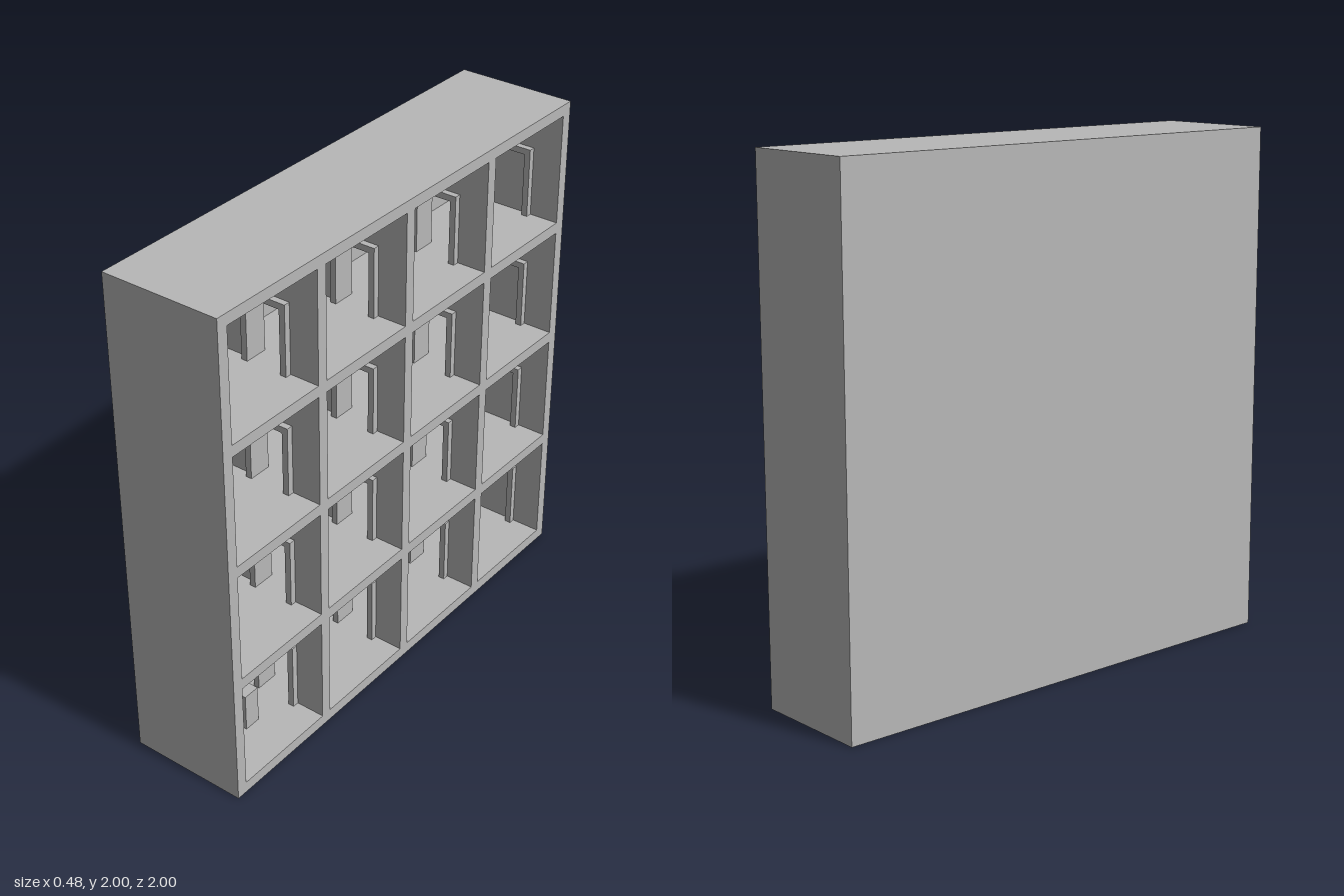
import * as THREE from 'three';

const N = 4;                    // rooms per side
const W = 0.045;                // wall thickness
const D = 0.24;                 // half depth of the block
const CELL = (2 - (N + 1) * W) / N;
const PITCH = CELL + W;
const BACK = -D + W;            // inner face of the back panel
const MID = (BACK + D) / 2;     // middle of a room in depth
const DOOR_W = 0.145, DOOR_H = 0.255, TRIM = 0.025;

export function createModel() {
  const model = new THREE.Group();
  const grey = new THREE.MeshStandardMaterial({ color: 0xb8b8b8 });
  grey.name = 'grey';

  const add = (name, geo, x, y, z) => {
    const m = new THREE.Mesh(geo, grey);
    m.name = name;
    m.position.set(x, y, z);
    model.add(m);
  };
  const box = (name, x0, x1, y0, y1, z0, z1) => add(name,
    new THREE.BoxGeometry(x1 - x0, y1 - y0, z1 - z0),
    (x0 + x1) / 2, (y0 + y1) / 2, (z0 + z1) / 2);

  // Arch-like outline from x0 to x1, height h, with the doorway cut out of its foot
  const doorPlate = (x0, x1, h, depth) => {
    const a = MID - DOOR_W / 2, b = MID + DOOR_W / 2;
    const pts = [[x0, 0], [a, 0], [a, DOOR_H], [b, DOOR_H], [b, 0], [x1, 0], [x1, h], [x0, h]];
    const shape = new THREE.Shape(pts.map(p => new THREE.Vector2(...p)));
    return new THREE.ExtrudeGeometry(shape, { depth, bevelEnabled: false });
  };
  const partition = doorPlate(BACK, D, CELL, W);
  const frame = doorPlate(MID - DOOR_W / 2 - TRIM, MID + DOOR_W / 2 + TRIM, DOOR_H + TRIM, TRIM);

  // Outer shell
  box('backPanel', -D, BACK, 0, 2, -1, 1);
  box('sideWall', BACK, D, 0, 2, -1, -1 + W);
  box('sideWall', BACK, D, 0, 2, 1 - W, 1);

  // Floors, including the base and the roof
  for (let i = 0; i <= N; i++) {
    box('floor', BACK, D, i * PITCH, i * PITCH + W, -1 + W, 1 - W);
  }

  for (let row = 0; row < N; row++) {
    const y = row * PITCH + W;
    // Inner walls with a doorway
    for (let i = 1; i < N; i++) add('partition', partition, 0, y, -1 + i * PITCH);
    // Door frames on both side walls of each room
    for (let i = 0; i < N; i++) {
      const z = -1 + W + i * PITCH;
      add('doorFrame', frame, 0, y, z);
      add('doorFrame', frame, 0, y, z + CELL - TRIM);
    }
  }

  // Small upright block standing in the lowest front room
  box('standingBlock', -0.015, 0.06, W, 0.2, 0.67, 0.74);

  return model;
}
